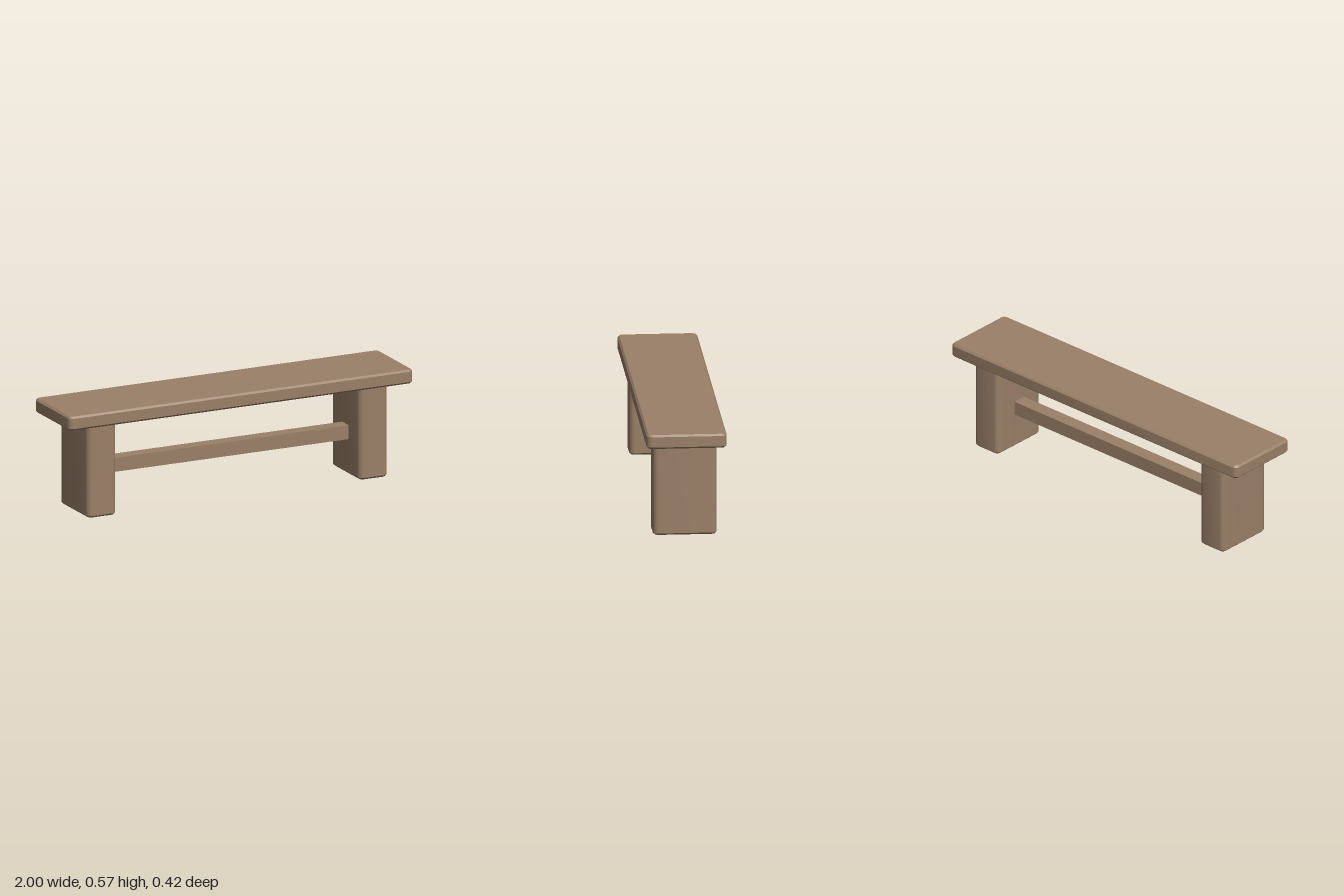
import * as THREE from 'three';
import { toCreasedNormals } from 'three/addons/utils/BufferGeometryUtils.js';

// Upright block with rounded vertical corners and chamfered top and bottom rims
function roundedBlock(width, height, depth, radius = 0.03, chamfer = 0.01) {
  const x = width / 2, y = depth / 2, r = radius;
  const shape = new THREE.Shape();
  shape.moveTo(-x + r, -y);
  shape.lineTo(x - r, -y);
  shape.absarc(x - r, -y + r, r, -Math.PI / 2, 0);
  shape.lineTo(x, y - r);
  shape.absarc(x - r, y - r, r, 0, Math.PI / 2);
  shape.lineTo(-x + r, y);
  shape.absarc(-x + r, y - r, r, Math.PI / 2, Math.PI);
  shape.lineTo(-x, -y + r);
  shape.absarc(-x + r, -y + r, r, Math.PI, Math.PI * 1.5);
  const geometry = new THREE.ExtrudeGeometry(shape, {
    depth: height - 2 * chamfer,
    curveSegments: 4,
    bevelEnabled: true,
    bevelSegments: 1,
    bevelThickness: chamfer,
    bevelSize: chamfer,
    bevelOffset: -chamfer,
  });
  geometry.translate(0, 0, chamfer); // base at zero
  geometry.rotateX(-Math.PI / 2); // stand upright
  return toCreasedNormals(geometry, Math.PI / 6);
}

export function createModel() {
  const bench = new THREE.Group();
  bench.name = 'bench';

  const wood = new THREE.MeshStandardMaterial({ color: 0x9a8068 });
  wood.name = 'wood';

  const add = (name, geometry, x, y) => {
    const mesh = new THREE.Mesh(geometry, wood);
    mesh.name = name;
    mesh.position.set(x, y, 0);
    bench.add(mesh);
  };

  // Seat plank
  add('seat', roundedBlock(2, 0.075, 0.417), 0, 0.498);

  // Pair of slab legs
  const legGeometry = roundedBlock(0.167, 0.498, 0.333);
  add('leftLeg', legGeometry, 0.789, 0);
  add('rightLeg', legGeometry, -0.789, 0);

  // Square stretcher set into both legs
  add('stretcher', new THREE.BoxGeometry(1.5, 0.075, 0.075), 0, 0.228);

  return bench;
}
